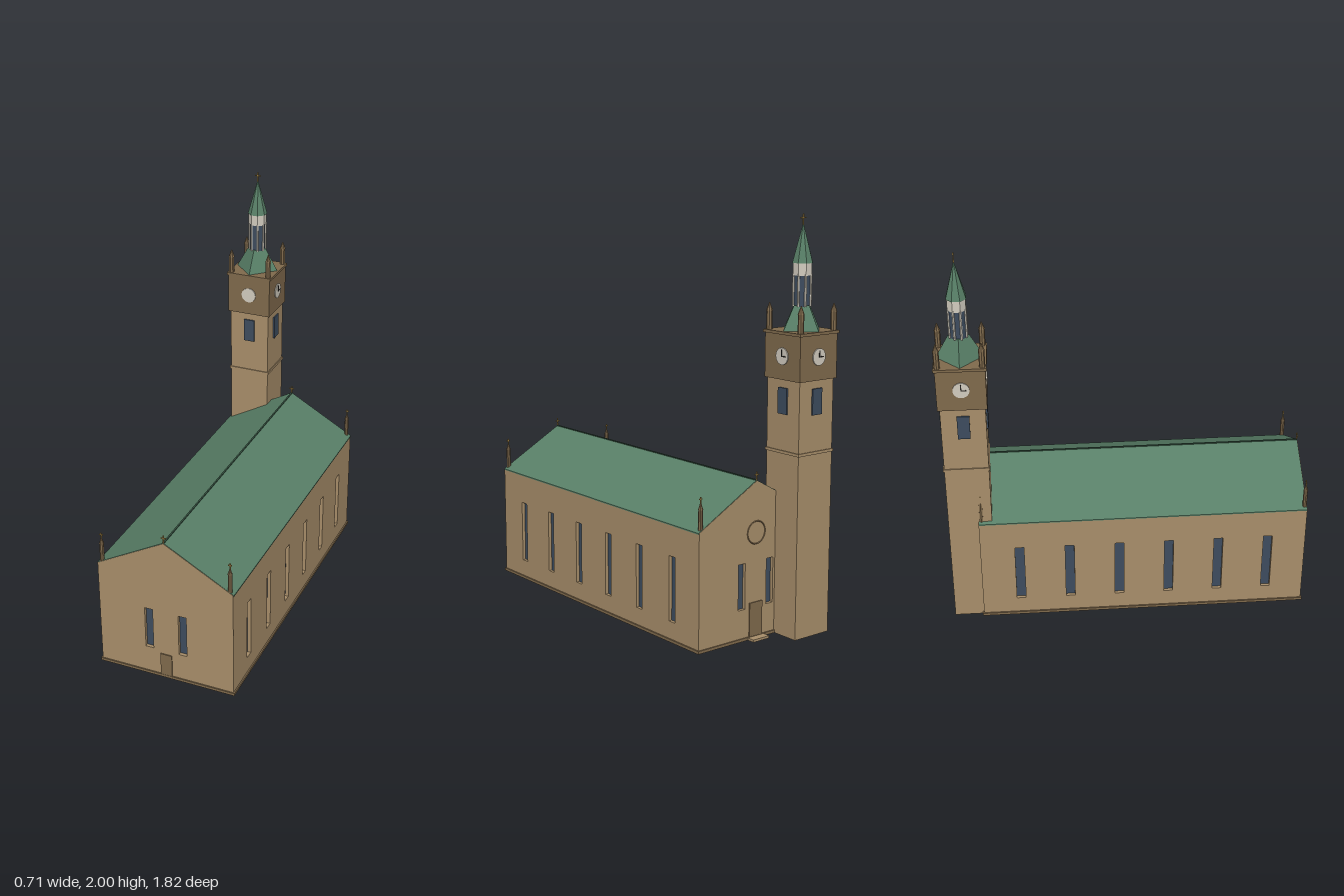
import * as THREE from 'three';

const mat = (name, color) => {
  const m = new THREE.MeshStandardMaterial({ color, flatShading: true });
  m.name = name;
  return m;
};

export function createModel() {
  const root = new THREE.Group();
  root.name = 'church';
  const stone = mat('sandstone', 0xa88e6a);
  const brown = mat('darkStone', 0x806a4c);
  const green = mat('copperRoof', 0x587f67);
  const ridgeMat = mat('darkCopper', 0x34503f);
  const glass = mat('windowGlass', 0x3d4c5e);
  const cream = mat('cream', 0xd2ccbf);
  const gold = mat('gold', 0xa8894a);
  const black = mat('clockHands', 0x25221f);

  const add = (parent, name, geo, material, x = 0, y = 0, z = 0) => {
    const m = new THREE.Mesh(geo, material);
    m.name = name;
    m.position.set(x, y, z);
    parent.add(m);
    return m;
  };
  const box = (p, name, m, w, h, d, x, y, z) => add(p, name, new THREE.BoxGeometry(w, h, d), m, x, y, z);
  const cyl = (p, name, m, rt, rb, y0, y1, n, x = 0, z = 0) =>
    add(p, name, new THREE.CylinderGeometry(rt, rb, y1 - y0, n), m, x, (y0 + y1) / 2, z);
  const polygon = (pts) => new THREE.Shape(pts.map(([x, y]) => new THREE.Vector2(x, y)));
  const rect = (cx, w, y0, y1) =>
    polygon([[cx - w / 2, y0], [cx - w / 2, y1], [cx + w / 2, y1], [cx + w / 2, y0]]);
  const cross = (p, x, y, z, h) => {
    const g = new THREE.Group();
    g.name = 'cross';
    g.position.set(x, y, z);
    box(g, 'crossPost', gold, 0.005, h, 0.005, 0, h / 2, 0);
    box(g, 'crossArm', gold, h * 0.6, 0.005, 0.005, 0, h * 0.65, 0);
    p.add(g);
  };

  // Nave walls, outer face at local z = 0, pierced by recessed windows
  const X = 0.35, Z0 = -0.745, Z1 = 0.905, EAVE = 0.575, RIDGE = 0.77, T = 0.02;
  const zMid = (Z0 + Z1) / 2, len = Z1 - Z0;
  const wall = (name, outline, windows) => {
    const g = new THREE.Group();
    g.name = name;
    const shape = polygon(outline);
    for (const [cx, w, y0, y1] of windows) {
      shape.holes.push(rect(cx, w, y0, y1));
      box(g, 'windowPane', glass, w + 0.01, y1 - y0 + 0.01, 0.006, cx, (y0 + y1) / 2, -T);
    }
    add(g, 'wallPanel', new THREE.ExtrudeGeometry(shape, { depth: T, bevelEnabled: false }), stone, 0, 0, -T);
    root.add(g);
    return g;
  };

  const gable = [[-X, 0], [X, 0], [X, EAVE], [0, RIDGE - 0.001], [-X, EAVE]];
  const gableWindows = [[-0.088, 0.042, 0.155, 0.38], [0.088, 0.042, 0.155, 0.38]];
  wall('frontGable', gable, gableWindows).position.z = Z1;
  const back = wall('backGable', gable, gableWindows);
  back.position.z = Z0;
  back.rotation.y = Math.PI;

  const sideWindows = [0.713, 0.46, 0.208, -0.044, -0.296, -0.549];
  for (const s of [1, -1]) {
    const side = wall(s > 0 ? 'leftWall' : 'rightWall',
      [[-len / 2 + T, 0], [len / 2 - T, 0], [len / 2 - T, EAVE], [-len / 2 + T, EAVE]],
      sideWindows.map((z) => [-s * (z - zMid), 0.046, 0.1, 0.42]));
    side.position.set(s * X, 0, zMid);
    side.rotation.y = s * Math.PI / 2;
  }

  // Roof, ridge and plinth
  const roofShape = polygon([[-0.353, EAVE], [-0.353, EAVE - 0.006], [0, RIDGE - 0.006], [0.353, EAVE - 0.006], [0.353, EAVE], [0, RIDGE + 0.002]]);
  add(root, 'naveRoof', new THREE.ExtrudeGeometry(roofShape, { depth: len - 0.004, bevelEnabled: false }), green, 0, 0, Z0 + 0.002);
  box(root, 'roofRidge', ridgeMat, 0.008, 0.008, len - 0.004, 0, RIDGE, zMid);
  box(root, 'plinth', brown, 0.714, 0.014, len + 0.012, 0, 0.007, zMid);

  // Doors, back step and round gable tracery
  box(root, 'frontDoor', brown, 0.06, 0.135, 0.008, 0, 0.0675, Z1 + 0.001);
  box(root, 'backDoor', brown, 0.08, 0.18, 0.008, 0, 0.09, Z0 - 0.001);
  box(root, 'backStep', stone, 0.1, 0.012, 0.045, 0, 0.006, Z0 - 0.0225);
  add(root, 'roseRing', new THREE.TorusGeometry(0.055, 0.003, 4, 24), brown, 0, 0.52, Z0);

  // Corner pinnacles and gable crosses
  const pinnacle = (p, m, x, y, z, r, body, tip) => {
    const g = new THREE.Group();
    g.name = 'pinnacle';
    g.position.set(x, y, z);
    cyl(g, 'pinnacleShaft', m, r, r, 0, body, 8);
    cyl(g, 'pinnacleCap', m, r * 0.15, r * 1.1, body, body + tip, 8);
    p.add(g);
  };
  for (const x of [-0.33, 0.33]) {
    for (const z of [0.893, -0.73]) {
      pinnacle(root, brown, x, 0.575, z, 0.011, 0.105, 0.035);
      cross(root, x, 0.71, z, 0.03);
    }
  }
  for (const z of [Z1 - 0.003, Z0 + 0.003]) cross(root, 0, RIDGE, z, 0.042);

  // Clock tower
  const tower = new THREE.Group();
  tower.name = 'clockTower';
  tower.position.set(-0.229, 0, -0.785);
  root.add(tower);
  box(tower, 'towerShaft', stone, 0.216, 1.25, 0.216, 0, 0.625, 0);
  box(tower, 'towerBand', stone, 0.226, 0.014, 0.226, 0, 0.897, 0);
  box(tower, 'clockStage', brown, 0.236, 0.22, 0.236, 0, 1.35, 0);
  box(tower, 'towerCornice', brown, 0.25, 0.014, 0.25, 0, 1.458, 0);

  // Belfry windows and clock dials on all four sides
  for (let i = 0; i < 4; i++) {
    const face = new THREE.Group();
    face.name = 'towerFace';
    face.rotation.y = i * Math.PI / 2;
    tower.add(face);
    box(face, 'belfryWindow', glass, 0.06, 0.124, 0.009, 0, 1.14, 0.111);
    const dial = add(face, 'clockDial', new THREE.CylinderGeometry(0.04, 0.04, 0.008, 24), cream, 0, 1.35, 0.119);
    dial.rotation.x = Math.PI / 2;
    if (i > 0) {
      box(face, 'minuteHand', black, 0.005, 0.032, 0.003, 0, 1.365, 0.124);
      box(face, 'hourHand', black, 0.026, 0.005, 0.003, 0.012, 1.35, 0.124);
    }
  }
  for (const x of [-0.105, 0.105]) {
    for (const z of [-0.105, 0.105]) pinnacle(tower, brown, x, 1.46, z, 0.0145, 0.092, 0.038);
  }

  // Diamond skirt roof, columned lantern and spire
  cyl(tower, 'skirtRoof', green, 0.05, 0.115, 1.465, 1.58, 4);
  cyl(tower, 'lanternGlass', glass, 0.043, 0.043, 1.575, 1.725, 8).rotation.y = Math.PI / 8;
  for (let i = 0; i < 8; i++) {
    const a = (i + 0.5) * Math.PI / 4;
    cyl(tower, 'lanternColumn', cream, 0.006, 0.006, 1.575, 1.725, 6, 0.043 * Math.sin(a), 0.043 * Math.cos(a));
  }
  cyl(tower, 'lanternBand', cream, 0.047, 0.047, 1.718, 1.78, 8).rotation.y = Math.PI / 8;
  cyl(tower, 'spire', green, 0.003, 0.051, 1.775, 1.95, 8).rotation.y = Math.PI / 8;
  cross(tower, 0, 1.945, 0, 0.055);

  return root;
}
